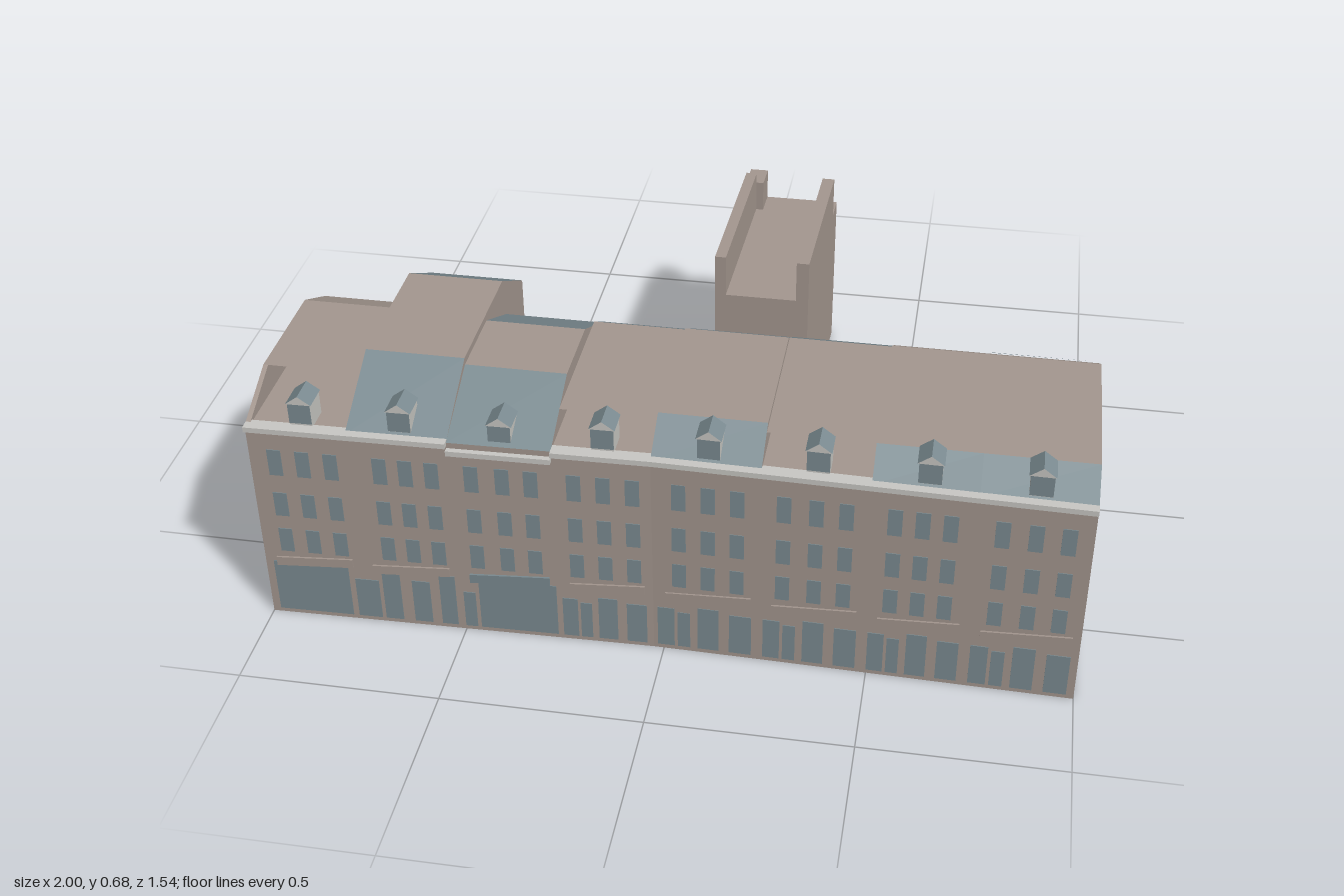
import * as THREE from 'three';

const wall = new THREE.MeshStandardMaterial({ color: 0xa4978f });
wall.name = 'taupe render';
const slate = new THREE.MeshStandardMaterial({ color: 0x7b8b91, side: THREE.DoubleSide });
slate.name = 'blue grey slate';
const pale = new THREE.MeshStandardMaterial({ color: 0xc9c8c4 });
pale.name = 'pale trim';
const palette = [wall, slate, pale];
const W = 0, S = 1, P = 2, SKIP = -1;

// Prism along x from a convex (z, y) profile listed front-bottom, up and over to the back.
// colours holds one palette index per profile edge.
function prism(name, x0, x1, profile, colours = [], caps = true) {
  const lists = [[], [], []];
  const n = profile.length;
  const at = (x, i) => [x, profile[i % n][1], profile[i % n][0]];
  for (let i = 0; i < n; i++) {
    const c = colours[i] ?? W;
    if (c === SKIP) continue;
    const a = at(x0, i), b = at(x1, i), d = at(x1, i + 1), e = at(x0, i + 1);
    lists[c].push(...a, ...b, ...d, ...a, ...d, ...e);
  }
  if (caps) for (let i = 1; i < n - 1; i++) {
    lists[W].push(...at(x1, 0), ...at(x1, i + 1), ...at(x1, i));
    lists[W].push(...at(x0, 0), ...at(x0, i), ...at(x0, i + 1));
  }
  const geo = new THREE.BufferGeometry();
  geo.setAttribute('position', new THREE.Float32BufferAttribute(lists.flat(), 3));
  let start = 0;
  lists.forEach((l, k) => {
    if (l.length) geo.addGroup(start, l.length / 3, k);
    start += l.length / 3;
  });
  geo.computeVertexNormals();
  const mesh = new THREE.Mesh(geo, palette);
  mesh.name = name;
  return mesh;
}

// Box from its limits
function block(name, material, x0, x1, y0, y1, z0, z1) {
  const geo = new THREE.BoxGeometry(x1 - x0, y1 - y0, z1 - z0);
  geo.translate((x0 + x1) / 2, (y0 + y1) / 2, (z0 + z1) / 2);
  const mesh = new THREE.Mesh(geo, material);
  mesh.name = name;
  return mesh;
}

// Move every vertex of a group by a rule
function warp(group, rule) {
  const v = new THREE.Vector3();
  group.traverse((o) => {
    if (!o.isMesh) return;
    const p = o.geometry.attributes.position;
    for (let i = 0; i < p.count; i++) {
      rule(v.fromBufferAttribute(p, i));
      p.setXYZ(i, v.x, v.y, v.z);
    }
    o.geometry.computeVertexNormals();
  });
}

const FRONT = 0.755, EAVE = 0.572;

// x range, back z, ridge height, ridge front z, ridge back z, front and back slope colours
const houses = [
  [-1, -0.755, 0.165, 0.645, 0.6, 0.3, SKIP, W],
  [-0.755, -0.51, 0.005, 0.683, 0.55, 0.19, S, S],
  [-0.51, -0.26, 0.175, 0.665, 0.55, 0.35, S, S],
  [-0.26, -0.025, 0.17, 0.625, 0.64, 0.25, SKIP, S],
  [-0.025, 0.235, 0.165, 0.635, 0.63, 0.26, S, S],
  [0.235, 0.49, 0.163, 0.622, 0.65, 0.24, SKIP, S],
  [0.49, 0.735, 0.16, 0.625, 0.655, 0.24, S, W],
  [0.735, 1, 0.16, 0.625, 0.655, 0.24, S, W],
];

const windowColumns = [
  [-0.938, -0.869, -0.8], [-0.68, -0.617, -0.553], [-0.457, -0.382, -0.313], [-0.21, -0.14, -0.07],
  [0.04, 0.11, 0.18], [0.29, 0.366, 0.436], [0.548, 0.612, 0.676], [0.794, 0.87, 0.944],
];
const windowRows = [[0.2, 0.27], [0.31, 0.38], [0.433, 0.508]];
const dormers = [-0.865, -0.625, -0.385, -0.14, 0.11, 0.365, 0.62, 0.87];

function house([x0, x1, back, top, rf, rb, front, rear], i) {
  const g = new THREE.Group();
  g.name = 'house' + (i + 1);
  const profile = [[FRONT, 0], [FRONT, EAVE], [rf, top], [rb, top], [back, 0.575], [back, 0]];
  if (front === SKIP) {
    // Roof open to the street
    g.add(prism('walls', x0, x1, [[FRONT, 0], [FRONT, EAVE], [back, EAVE], [back, 0]]));
    g.add(prism('openRoof', x0, x1, profile, [SKIP, SKIP, W, rear, SKIP, SKIP], false));
  } else {
    g.add(prism('wallsAndRoof', x0, x1, profile, [W, front, W, rear, W, W]));
  }
  // Upper windows
  for (const x of windowColumns[i]) for (const [y0, y1] of windowRows)
    g.add(block('window', slate, x - 0.017, x + 0.017, y0, y1, FRONT - 0.004, FRONT + 0.002));
  // Cornice
  const drop = i === 2 ? 0.02 : 0;
  g.add(block('cornice', pale, x0, x1, 0.563 - drop, 0.577 - drop, FRONT - 0.02, FRONT + 0.014));
  return g;
}

function dormer(x, i) {
  const g = new THREE.Group();
  g.name = 'dormer';
  const dy = i === 2 ? -0.015 : 0, z0 = 0.675, z1 = 0.74, h = 0.027;
  g.add(block('dormerCheeks', pale, x - h, x + h, 0.57 + dy, 0.638 + dy, z0, z1));
  g.add(block('dormerWindow', slate, x - h, x + h, 0.583 + dy, 0.638 + dy, z1, z1 + 0.003));
  // Gabled cap
  const s = new THREE.Shape([[-0.031, 0.637], [0.031, 0.637], [0, 0.66]].map(([a, b]) => new THREE.Vector2(x + a, b + dy)));
  const geo = new THREE.ExtrudeGeometry(s, { depth: z1 - z0 + 0.004, bevelEnabled: false });
  geo.translate(0, 0, z0);
  const cap = new THREE.Mesh(geo, [pale, slate]);
  cap.name = 'dormerRoof';
  g.add(cap);
  return g;
}

function shopFronts() {
  const g = new THREE.Group();
  g.name = 'shopFronts';
  const panes = [
    [-0.98, -0.79, 0.165], [-0.775, -0.715, 0.13], [-0.705, -0.66, 0.165], [-0.63, -0.585, 0.14],
    [-0.56, -0.52, 0.165], [-0.5, -0.47, 0.12], [-0.46, -0.265, 0.165],
  ];
  for (const [x0, x1] of houses.slice(3)) {
    const w = x1 - x0;
    for (const [a, b, h] of [[0.04, 0.2, 0.13], [0.23, 0.35, 0.12], [0.42, 0.62, 0.14], [0.72, 0.93, 0.13]])
      panes.push([x0 + a * w, x0 + b * w, h]);
  }
  for (const [a, b, h] of panes) g.add(block('shopWindow', slate, a, b, 0.012, h, FRONT - 0.004, FRONT + 0.002));
  // Slightly tilted fascias above the shops
  houses.forEach(([x0, x1], i) => {
    const sign = block('fascia', i === 2 ? slate : wall, x0 + 0.03, x1 - 0.02, 0.16, 0.185, FRONT - 0.004, FRONT + 0.005);
    const p = sign.geometry.attributes.position;
    for (let k = 0; k < p.count; k++) p.setY(k, p.getY(k) + (p.getX(k) - (x0 + x1) / 2) * 0.06);
    g.add(sign);
  });
  return g;
}

function rearWing() {
  const g = new THREE.Group();
  g.name = 'rearWing';
  const a = -0.035, b = 0.222;
  g.add(prism('linkBuilding', a, b, [[0.17, 0], [0.17, 0.17], [-0.04, 0.17], [-0.04, 0]]));
  g.add(prism('linkSlope', a, b, [[-0.04, 0], [-0.04, 0.158], [-0.2, 0.115], [-0.2, 0]]));
  g.add(block('wingBody', wall, a, b, 0, 0.457, -0.77, -0.2));
  // Parapets either side of the sunken roof
  g.add(block('leftParapet', wall, b - 0.034, b, 0.457, 0.575, -0.69, -0.2));
  g.add(block('rightParapet', wall, a, a + 0.03, 0.457, 0.575, -0.69, -0.2));
  g.add(block('cornerStack', wall, a, a + 0.05, 0.457, 0.545, -0.77, -0.69));
  warp(g, (v) => { v.x += (0.16 - v.z) * 0.027; });
  return g;
}

export function createModel() {
  const model = new THREE.Group();
  model.name = 'terrace';
  const row = new THREE.Group();
  row.name = 'houseRow';
  houses.forEach((h, i) => row.add(house(h, i)));
  dormers.forEach((x, i) => row.add(dormer(x, i)));
  row.add(shopFronts());
  // Gable wall beside the open end roof
  row.add(prism('endGable', -1, -0.988, [[FRONT, 0.5], [FRONT, EAVE], [0.6, 0.645], [0.3, 0.645], [0.165, EAVE], [0.165, 0.5]]));
  // Right half of the sixth house keeps a slate corner; triangular slate on the last rear slope
  const tri = new THREE.BufferGeometry();
  tri.setAttribute('position', new THREE.Float32BufferAttribute([0.735, 0.604, 0.2, 1, 0.579, 0.16, 0.735, 0.579, 0.16], 3));
  tri.computeVertexNormals();
  const patch = new THREE.Mesh(tri, slate);
  patch.name = 'rearSlatePatch';
  row.add(patch);
  // The street front bows in gently at the middle
  warp(row, (v) => { if (v.z > 0.66) v.z -= 0.022 * (1 - Math.abs(v.x)); });
  model.add(row);
  model.add(block('rearExtension', wall, -1, -0.755, 0, 0.2, 0.02, 0.17));
  model.add(rearWing());
  return model;
}
